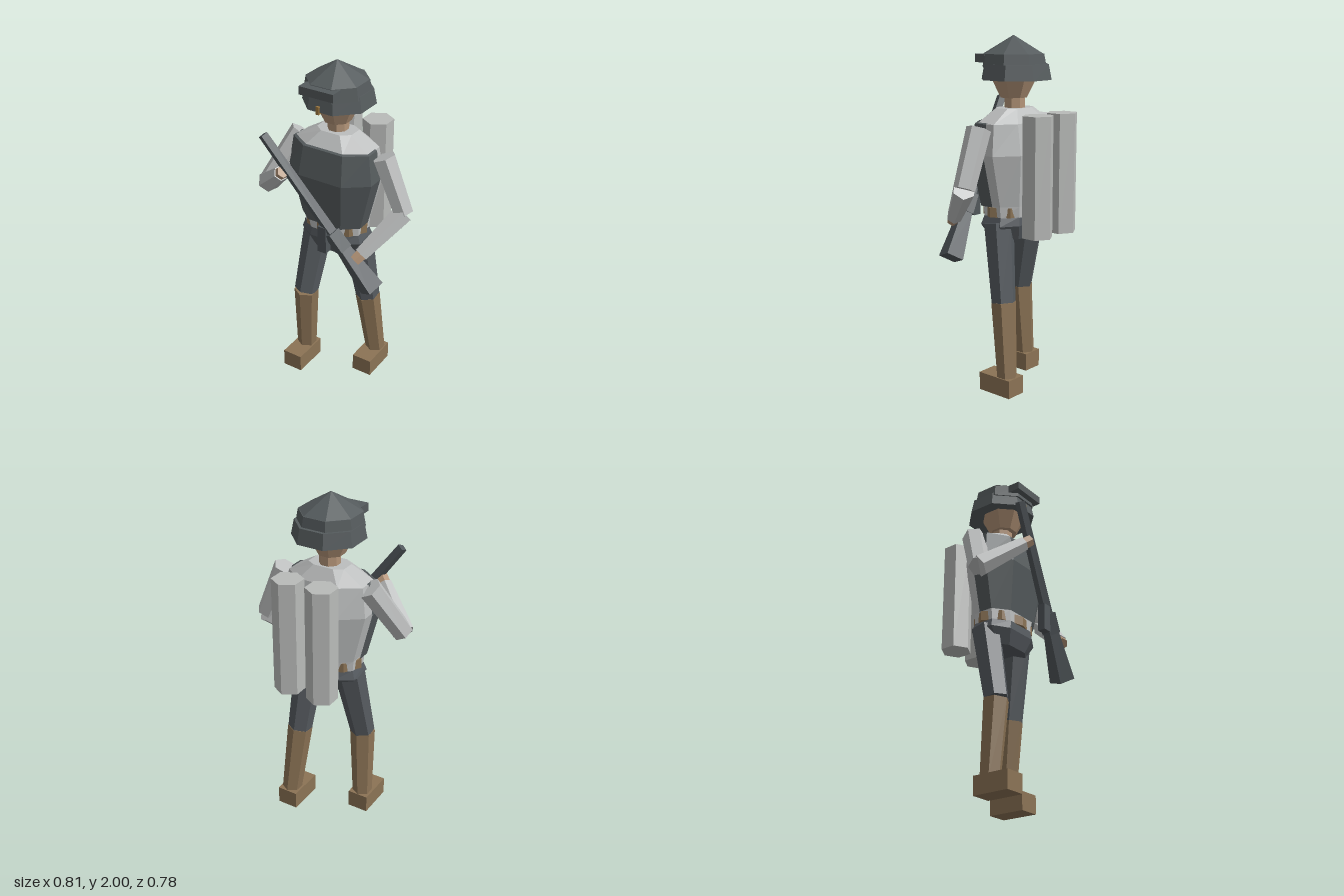
import * as THREE from 'three';

const V = (x, y, z) => new THREE.Vector3(x, y, z);
const mat = (name, color, double) => {
  const m = new THREE.MeshStandardMaterial({ color, flatShading: true });
  m.name = name;
  if (double) m.side = THREE.DoubleSide;
  return m;
};

// Eight-sided cross-section: a = half width of the flat front, b = half width at the sides,
// zf / zb = front and back depth, zs / zt = depth of the side corners
const ring = (y, a, b, zf, zs, zt, zb) => [
  [a, zf], [b, zs], [b, zt], [a, zb], [-a, zb], [-b, zt], [-b, zs], [-a, zf],
].map(([x, z]) => V(x, y, z));

// Skin over cross-sections running from low to high
function loft(rings, closed = true) {
  const pos = [];
  const tri = (...p) => p.forEach((v) => pos.push(v.x, v.y, v.z));
  const n = rings[0].length;
  for (let k = 0; k < rings.length - 1; k++) {
    const lo = rings[k], hi = rings[k + 1];
    for (let i = 0; i < (closed ? n : n - 1); i++) {
      const j = (i + 1) % n;
      tri(lo[i], lo[j], hi[j]);
      tri(lo[i], hi[j], hi[i]);
    }
  }
  if (closed) {
    const lo = rings[0], hi = rings[rings.length - 1];
    for (let i = 1; i < n - 1; i++) {
      tri(lo[0], lo[i + 1], lo[i]);
      tri(hi[0], hi[i], hi[i + 1]);
    }
  }
  const g = new THREE.BufferGeometry();
  g.setAttribute('position', new THREE.Float32BufferAttribute(pos, 3));
  g.computeVertexNormals();
  return g;
}

export function createModel() {
  const model = new THREE.Group();
  model.name = 'soldier';
  const dark = mat('darkArmour', 0x555b5d, true);
  const cloth = mat('trouserCloth', 0x555a5f);
  const shirt = mat('shirtGrey', 0xbcbebe);
  const tankGrey = mat('tankGrey', 0xb9bbb9);
  const brown = mat('bootBrown', 0x8b7355);
  const skin = mat('skin', 0xb39478);
  const metal = mat('gunMetal', 0x50565a);
  const brass = mat('brass', 0xa07a40);

  const add = (parent, name, geo, m, x = 0, y = 0, z = 0) => {
    const o = new THREE.Mesh(geo, m);
    o.name = name;
    o.position.set(x, y, z);
    parent.add(o);
    return o;
  };
  // Tapered prism from point p (radius r1) to point q (radius r2)
  const limb = (name, p, q, r1, r2, m, sides = 6, spin = 0) => {
    const d = q.clone().sub(p);
    const g = new THREE.CylinderGeometry(r2, r1, d.length(), sides);
    g.rotateY(spin);
    const o = add(model, name, g, m);
    o.position.copy(p).add(q).multiplyScalar(0.5);
    o.quaternion.setFromUnitVectors(V(0, 1, 0), d.normalize());
    return o;
  };

  // The body is turned a little towards its left
  const turn = 0.37;
  const body = new THREE.Group();
  body.name = 'body';
  body.position.set(-0.035, 0, -0.02);
  body.rotation.y = turn;
  model.add(body);

  // Torso, hips and belt
  add(body, 'shirt', loft([
    ring(1.0, 0.09, 0.178, 0.125, 0.06, -0.06, -0.125),
    ring(1.07, 0.1, 0.182, 0.125, 0.06, -0.06, -0.13),
    ring(1.36, 0.13, 0.255, 0.165, 0.07, -0.07, -0.165),
    ring(1.53, 0.12, 0.232, 0.135, 0.06, -0.06, -0.135),
    ring(1.605, 0.06, 0.11, 0.07, 0.03, -0.05, -0.08),
  ]), shirt);
  add(body, 'hips', loft([
    ring(0.875, 0.07, 0.13, 0.1, 0.06, -0.06, -0.1),
    ring(0.96, 0.1, 0.195, 0.13, 0.07, -0.07, -0.13),
    ring(1.01, 0.09, 0.178, 0.125, 0.06, -0.06, -0.125),
  ]), cloth);
  const belt = add(body, 'belt', new THREE.CylinderGeometry(1, 1, 0.055, 8), brown, 0, 1.035, 0);
  belt.scale.set(0.2, 1, 0.142);

  // Vest shell: open at the back
  const vestRing = (y, a, b, zf, zs) => [
    [-b, -0.015], [-b, zs], [-a, zf], [a, zf], [b, zs], [b, -0.015],
  ].map(([x, z]) => V(x, y, z));
  add(body, 'vest', loft([
    vestRing(1.065, 0.108, 0.195, 0.138, 0.068),
    vestRing(1.36, 0.138, 0.268, 0.18, 0.08),
    vestRing(1.53, 0.125, 0.243, 0.147, 0.068),
    vestRing(1.535, 0.118, 0.23, 0.132, 0.06),
  ], false), dark);

  // Twin tanks on the back
  for (const s of [-1, 1]) {
    add(body, 'backTank', new THREE.CylinderGeometry(0.088, 0.088, 0.665, 6), tankGrey, s * 0.104, 1.2525, -0.262);
  }

  // Neck, head and helmet
  const octagon = (rTop, rBottom, h) => new THREE.CylinderGeometry(rTop, rBottom, h, 8, 1, false, Math.PI / 8);
  add(body, 'neck', octagon(0.06, 0.06, 0.09), skin, 0, 1.63, -0.01);
  add(body, 'head', octagon(0.142, 0.078, 0.125), skin, 0, 1.7225, 0);
  add(body, 'helmetFlap', octagon(0.186, 0.203, 0.085), dark, 0, 1.8025, -0.02);
  add(body, 'helmetBand', octagon(0.172, 0.186, 0.075), dark, 0, 1.8625, -0.005);
  add(body, 'helmetCrown', octagon(0, 0.172, 0.1), dark, 0, 1.95, 0);
  add(body, 'goggles', new THREE.BoxGeometry(0.212, 0.046, 0.075), dark, -0.005, 1.872, 0.16);
  add(body, 'noseClip', new THREE.BoxGeometry(0.018, 0.045, 0.025), brass, -0.012, 1.77, 0.162);

  // Legs: hip, knee, ankle, foot centre
  const legs = [
    ['right', V(-0.163, 0.97, 0.012), V(-0.16, 0.525, 0.12), V(-0.185, 0.09, 0.107), V(-0.168, 0.0525, 0.155)],
    ['left', V(0.085, 0.97, -0.075), V(0.095, 0.525, -0.15), V(0.105, 0.09, -0.212), V(0.118, 0.0525, -0.165)],
  ];
  for (const [side, hip, knee, ankle, foot] of legs) {
    limb(side + 'Thigh', knee, hip, 0.071, 0.088, cloth, 6, turn);
    limb(side + 'Boot', ankle, knee, 0.058, 0.073, brown, 6, turn);
    const f = add(model, side + 'Foot', new THREE.BoxGeometry(0.124, 0.105, 0.221), brown);
    f.position.copy(foot);
    f.rotation.y = turn;
  }

  // Arms: shoulder, elbow, wrist, hand
  const arms = [
    ['right', V(-0.275, 1.52, 0.05), V(-0.345, 1.225, 0.24), V(-0.1, 1.405, 0.305), V(-0.06, 1.435, 0.318)],
    ['left', V(0.235, 1.51, -0.13), V(0.35, 1.2, -0.185), V(0.298, 0.995, 0.06), V(0.29, 0.965, 0.1)],
  ];
  for (const [side, shoulder, elbow, wrist, hand] of arms) {
    limb(side + 'UpperArm', elbow, shoulder, 0.06, 0.068, shirt);
    limb(side + 'Forearm', elbow, wrist, 0.064, 0.044, shirt);
    limb(side + 'Hand', wrist, hand, 0.038, 0.034, skin);
  }

  // Rifle held across the chest
  const muzzle = V(-0.163, 1.628, 0.372), breech = V(0.15, 1.1, 0.155), butt = V(0.342, 0.775, 0.015);
  const grip = breech.clone().lerp(butt, 0.3);
  limb('rifleBarrel', breech, muzzle, 0.034, 0.028, metal, 4, Math.PI / 4);
  limb('rifleReceiver', grip, breech, 0.052, 0.05, metal, 4, Math.PI / 4);
  limb('rifleStock', butt, grip, 0.073, 0.045, metal, 4, Math.PI / 4);
  const mag = add(model, 'rifleMagazine', new THREE.BoxGeometry(0.055, 0.16, 0.045), metal, 0.114, 1.05, 0.18);
  mag.rotation.y = turn;

  return model;
}
